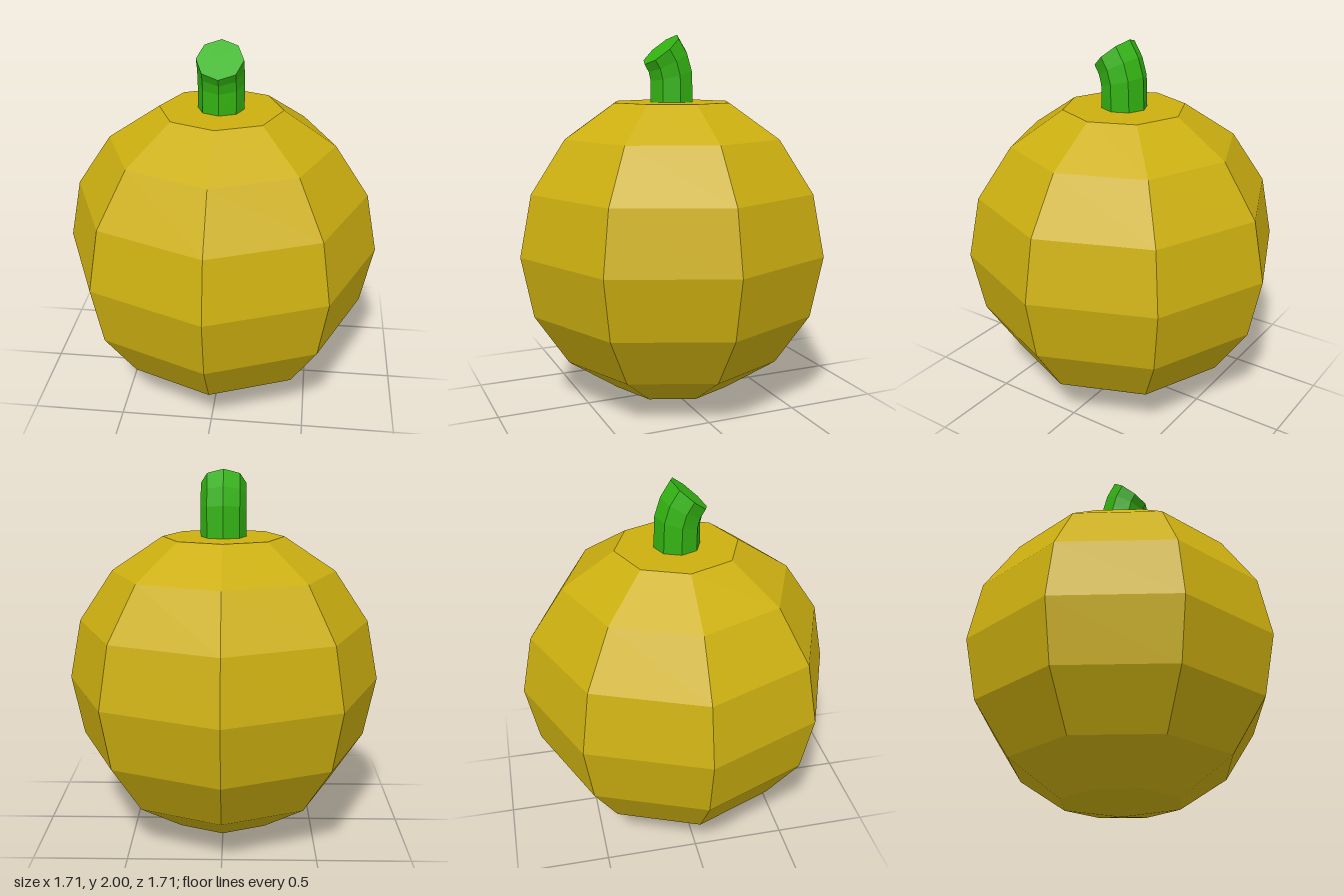
import * as THREE from 'three';

const SIDES = 8;
const RADIUS = 0.855;

export function createModel() {
  const model = new THREE.Group();
  model.name = 'pumpkin';

  // Body: faceted sphere, cut flat at its last ring
  const profile = [];
  for (let i = 0; i < 8; i++) {
    const a = (i * Math.PI) / 8;
    profile.push(new THREE.Vector2(RADIUS * Math.sin(a), RADIUS - RADIUS * Math.cos(a)));
  }
  const topY = profile[7].y;
  profile.push(new THREE.Vector2(0, topY));
  const body = new THREE.Mesh(
    new THREE.LatheGeometry(profile, SIDES),
    new THREE.MeshStandardMaterial({ color: 0xccaf10, flatShading: true })
  );
  body.name = 'body';
  model.add(body);

  // Stem: octagonal cylinder whose rings are tilted progressively forward
  const rings = [
    { y: topY, z: 0, tilt: 0 },
    { y: 1.787, z: 0.003, tilt: 14 },
    { y: 1.86, z: 0.024, tilt: 27 },
    { y: 1.922, z: 0.062, tilt: 40 },
  ];
  const geometry = new THREE.CylinderGeometry(0.122, 0.122, 3, SIDES, 3);
  const pos = geometry.attributes.position;
  for (let i = 0; i < pos.count; i++) {
    const ring = rings[Math.round(pos.getY(i) + 1.5)];
    const a = THREE.MathUtils.degToRad(ring.tilt);
    const z = pos.getZ(i);
    pos.setY(i, ring.y - z * Math.sin(a));
    pos.setZ(i, ring.z + z * Math.cos(a));
  }
  geometry.computeVertexNormals();
  const stem = new THREE.Mesh(
    geometry,
    new THREE.MeshStandardMaterial({ color: 0x33b212, flatShading: true })
  );
  stem.name = 'stem';
  model.add(stem);

  return model;
}
